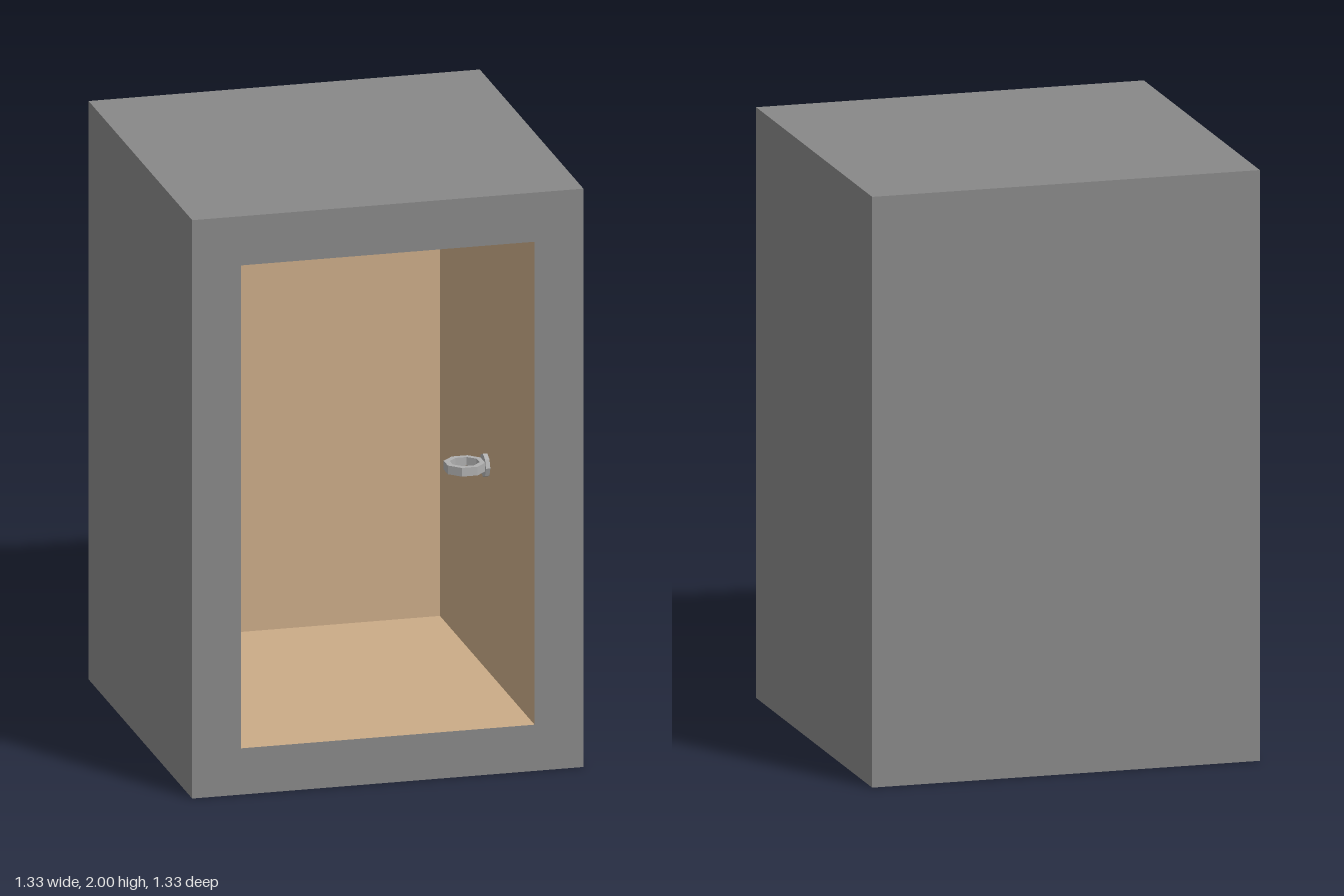
import * as THREE from 'three';

const W = 1.333, H = 2, FRONT = W / 2;              // outer cabin
const IN = { w: 1.0, y0: 0.16, y1: 1.83, back: -0.55 }; // room inside

const paint = (color) => new THREE.MeshStandardMaterial({ color });

// Box without its +z face; inward turns the faces to look inside
function openBox(w, h, d, inward = false) {
  const geo = new THREE.BoxGeometry(w, h, d);
  const index = Array.from(geo.index.array).filter((_, i) => i < 24 || i >= 30);
  geo.clearGroups();
  geo.setIndex(inward ? index.reverse() : index);
  geo.computeVertexNormals();
  return geo;
}

// Regular polygon with flats facing the axes
function polygon(Type, radius, sides) {
  const points = [];
  for (let i = 0; i < sides; i++) {
    const a = ((i + 0.5) / sides) * Math.PI * 2;
    points.push(new THREE.Vector2(Math.cos(a) * radius, Math.sin(a) * radius));
  }
  return new Type(points);
}

export function createModel() {
  const model = new THREE.Group();
  const add = (name, geometry, material, x, y, z, parent = model) => {
    const mesh = new THREE.Mesh(geometry, material);
    mesh.name = name;
    mesh.position.set(x, y, z);
    parent.add(mesh);
    return mesh;
  };

  const shell = paint(0x888888);
  const lining = paint(0xcaab87);
  const metal = paint(0xb0b0b0);
  const lampGlass = paint(0xb8aa78);
  lampGlass.flatShading = true;
  metal.flatShading = true;

  // Outer walls, roof and base
  add('outerShell', openBox(W, H, W), shell, 0, H / 2, 0);

  // Frame around the opening
  const frame = new THREE.Shape([
    new THREE.Vector2(-W / 2, 0), new THREE.Vector2(W / 2, 0),
    new THREE.Vector2(W / 2, H), new THREE.Vector2(-W / 2, H),
  ]);
  frame.holes.push(new THREE.Path([
    new THREE.Vector2(-IN.w / 2, IN.y0), new THREE.Vector2(-IN.w / 2, IN.y1),
    new THREE.Vector2(IN.w / 2, IN.y1), new THREE.Vector2(IN.w / 2, IN.y0),
  ]));
  add('frontFrame', new THREE.ShapeGeometry(frame), shell, 0, 0, FRONT);

  // Lining of the room
  const depth = FRONT - IN.back;
  const midZ = (FRONT + IN.back) / 2;
  add('roomLining', openBox(IN.w, IN.y1 - IN.y0, depth, true), lining,
    0, (IN.y0 + IN.y1) / 2, midZ);

  // Flat panel on the right wall
  add('wallPanel', new THREE.BoxGeometry(0.012, 0.295, 0.255), metal, -0.494, 0.875, 0.05);

  // Ceiling lamp: thin rim and tapered glass
  const lamp = new THREE.Group();
  lamp.name = 'ceilingLamp';
  lamp.position.set(0, IN.y1, midZ);
  model.add(lamp);
  add('lampRim', new THREE.CylinderGeometry(0.143, 0.143, 0.01, 24), lampGlass, 0, -0.005, 0, lamp);
  add('lampGlass', new THREE.CylinderGeometry(0.125, 0.088, 0.03, 24), lampGlass, 0, -0.025, 0, lamp);

  // Ring holder on the left wall
  const holder = new THREE.Group();
  holder.name = 'ringHolder';
  holder.position.set(IN.w / 2, 0.87, midZ);
  model.add(holder);
  const plate = add('holderPlate', new THREE.CylinderGeometry(0.04, 0.04, 0.015, 8), metal,
    -0.0075, 0, 0, holder);
  plate.rotation.z = Math.PI / 2;
  const ringShape = polygon(THREE.Shape, 0.07, 8);
  ringShape.holes.push(polygon(THREE.Path, 0.05, 8));
  const ring = add('holderRing',
    new THREE.ExtrudeGeometry(ringShape, { depth: 0.03, bevelEnabled: false }), metal,
    -0.077, 0.018, 0, holder);
  ring.rotation.x = Math.PI / 2;

  return model;
}
